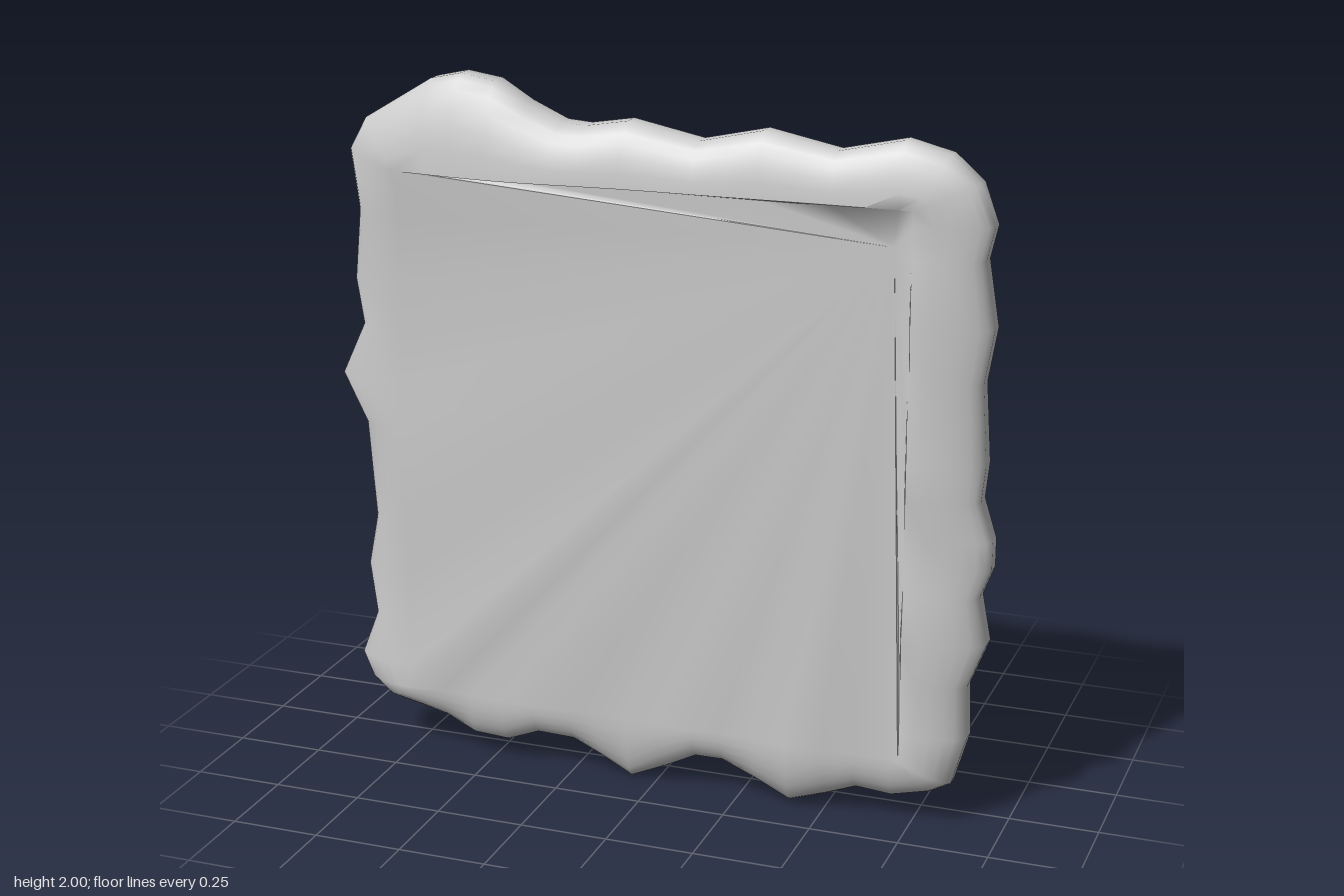
import * as THREE from 'three';
import { toCreasedNormals } from 'three/addons/utils/BufferGeometryUtils.js';

const OUTLINE = [
  [-0.56, 2], [-0.46, 1.985], [-0.37, 1.93], [-0.27, 1.885], [-0.2, 1.88], [-0.08, 1.9], [0.02, 1.88], [0.12, 1.86],
  [0.21, 1.88], [0.3, 1.9], [0.4, 1.88], [0.5, 1.86], [0.59, 1.88], [0.68, 1.9], [0.8, 1.87], [0.88, 1.8], [0.92, 1.69],
  [0.9, 1.6], [0.93, 1.42], [0.905, 1.27], [0.92, 1.05], [0.91, 0.95], [0.945, 0.84], [0.945, 0.76], [0.915, 0.68],
  [0.94, 0.55], [0.89, 0.42], [0.895, 0.27], [0.855, 0.13], [0.8, 0.1], [0.69, 0.07], [0.59, 0.08], [0.5, 0.045],
  [0.4, 0.012], [0.3, 0.055], [0.2, 0.1], [0.12, 0.1], [0.02, 0.05], [-0.08, 0.005], [-0.17, 0.055], [-0.25, 0.095],
  [-0.36, 0.1], [-0.46, 0.06], [-0.56, 0.065], [-0.65, 0.11], [-0.83, 0.15], [-0.89, 0.2], [-0.92, 0.27], [-0.87, 0.4],
  [-0.89, 0.55], [-0.86, 0.7], [-0.88, 0.98], [-0.95, 1.12], [-0.88, 1.27], [-0.9, 1.4], [-0.88, 1.6], [-0.9, 1.77],
  [-0.85, 1.86], [-0.65, 1.98],
];
const MID = 0.075, LEFT = -0.74, RIGHT = 0.72, BOTTOM = 0.2, TOP = 1.73;
const { clamp, lerp, smoothstep } = THREE.MathUtils;
const bump = (x, c, w) => Math.exp(-(((x - c) / w) ** 2));

// Height of the front rim's crest at a point of the inner rectangle
function crest(x, y) {
  if (y >= TOP) return 0.155 + 0.038 * bump(x, -0.42, 0.3) + 0.01 * bump(x, 0.15, 0.25);
  if (x >= RIGHT) return 0.157 + 0.006 * Math.sin(y * 14);
  if (y <= BOTTOM) return 0.148 + 0.035 * bump(x, 0.42, 0.09) + 0.005 * Math.sin(x * 13);
  return 0.142 + 0.005 * Math.sin(y * 9);
}

// Gently rolling back face, thinner toward the left edge
function back(x, y) {
  return -0.016 - 0.008 * Math.sin(3 * x + 5 * y) - 0.012 * bump(y, 1.7, 0.12)
    + 0.012 * bump(y, 1.45, 0.15) - 0.006 * bump(y, 0.7, 0.25) + 0.022 * smoothstep(-x, 0.55, 0.78);
}

function slabGeometry() {
  const N = OUTLINE.length;
  const edge = OUTLINE.map(([x, y]) => ({ x, y, qx: clamp(x, LEFT, RIGHT), qy: clamp(y, BOTTOM, TOP) }));
  const steps = [0, 0.06, 0.16, 0.32, 0.52, 0.75, 1];
  const rings = [];
  // Back face, from its middle out to the rectangle
  for (const s of [0, 0.2, 0.4, 0.6, 0.8]) {
    rings.push(edge.map((p) => {
      const x = p.qx * s, y = 1 + (p.qy - 1) * s;
      return [x, y, back(x, y)];
    }));
  }
  // Rounded rim, back half then front half; sharper at the top left, blunter elsewhere
  const rim = (t, height) => edge.map((p) => {
    const sharp = Math.max(smoothstep(-p.x, 0.6, 0.8), smoothstep(p.y, 1.84, 1.98));
    const swell = (1 - (1 - t) ** 2) ** lerp(0.58, 0.75, sharp);
    const z = MID + (height(p) - MID) * lerp(0.25, 1, swell);
    return [lerp(p.x, p.qx, t), lerp(p.y, p.qy, t), z];
  });
  for (const t of [...steps].reverse()) rings.push(rim(t, (p) => back(p.qx, p.qy)));
  for (const t of steps) rings.push(rim(t, (p) => crest(p.qx, p.qy)));
  // Ledge down to the front panel, fading out at its ends, then a fan to one corner
  rings.push(edge.map((p) => {
    const top = p.qy >= TOP ? smoothstep(p.qx, -0.74, -0.5) * (1 - smoothstep(p.qx, 0.4, 0.7)) : 0;
    const right = p.qx >= RIGHT ? smoothstep(p.qy, 0.25, 0.45) * (1 - smoothstep(p.qy, 1.55, 1.7)) : 0;
    const z = lerp(crest(p.qx, p.qy), 0.15, Math.max(top, right));
    return [p.qx - 0.004 * right, p.qy - 0.004 * top, z];
  }));
  rings.push(edge.map(() => [0.67, 1.63, 0.148]));

  // The first and last rings are single points, so they take one triangle per step
  const index = [];
  for (let i = 0; i < rings.length - 1; i++) {
    for (let j = 0; j < N; j++) {
      const k = (j + 1) % N;
      const a = i * N + j, b = i * N + k, c = a + N, d = b + N;
      if (i === 0) index.push(a, c, d);
      else index.push(a, c, b);
      if (i > 0 && i < rings.length - 2) index.push(b, c, d);
    }
  }
  const g = new THREE.BufferGeometry();
  g.setAttribute('position', new THREE.Float32BufferAttribute(rings.flat(2), 3));
  g.setIndex(index);
  return toCreasedNormals(g, 1);
}

// Blocky pebble: a coarse ball squared off and dented by a wave
function pebbleGeometry(seed) {
  const g = new THREE.SphereGeometry(1, 8, 6);
  const p = g.attributes.position, v = new THREE.Vector3();
  const square = (c) => Math.sign(c) * Math.abs(c) ** 0.75;
  for (let i = 0; i < p.count; i++) {
    v.fromBufferAttribute(p, i);
    v.set(square(v.x), square(v.y), square(v.z));
    v.multiplyScalar(0.95 + 0.07 * Math.sin(3 * v.x + seed) * Math.cos(3 * v.y - 2 * v.z + seed));
    p.setXYZ(i, v.x, v.y, v.z);
  }
  g.deleteAttribute('normal');
  g.deleteAttribute('uv');
  return toCreasedNormals(g, 1);
}

export function createModel() {
  const group = new THREE.Group();
  const material = new THREE.MeshStandardMaterial({ color: 0xcccccc });
  const thin = new THREE.MeshStandardMaterial({ color: 0xcccccc, side: THREE.DoubleSide });

  const slab = new THREE.Mesh(slabGeometry(), material);
  slab.name = 'stoneSlab';
  group.add(slab);

  // Pebbles on the back: position, then half sizes
  [
    [0.585, 1.515, -0.1, 0.069, 0.065, 0.098],
    [0.6, 1.39, -0.022, 0.05, 0.06, 0.043],
    [0.535, 1.42, -0.022, 0.028, 0.034, 0.03],
    [0.415, 0.33, -0.03, 0.088, 0.084, 0.048],
    [-0.4, 0.455, -0.03, 0.075, 0.046, 0.05],
  ].forEach(([x, y, z, sx, sy, sz], i) => {
    const pebble = new THREE.Mesh(pebbleGeometry(i * 1.7), material);
    pebble.name = 'pebble' + (i + 1);
    pebble.position.set(x, y, z);
    pebble.scale.set(sx, sy, sz);
    group.add(pebble);
  });

  // Grass tufts: thin blades spreading from a root
  const up = new THREE.Vector3(0, 1, 0);
  [[0.63, 1.47, -0.015], [0.47, 0.3, -0.015]].forEach((root, n) => {
    const tuft = new THREE.Group();
    tuft.name = 'grassTuft' + (n + 1);
    tuft.position.set(...root);
    for (let i = 0; i < 11; i++) {
      const a = -1.3 + i * 0.22;
      const dir = new THREE.Vector3(0.9 * Math.cos(a), 0.7 * Math.sin(a), -0.6 - 0.4 * Math.sin(i * 2.3)).normalize();
      const length = 0.085 + 0.02 * Math.sin(i * 1.9);
      const blade = new THREE.Mesh(new THREE.ConeGeometry(0.006, length, 3), thin);
      blade.name = 'grassBlade';
      blade.quaternion.setFromUnitVectors(up, dir);
      blade.position.copy(dir).multiplyScalar(length / 2);
      tuft.add(blade);
    }
    group.add(tuft);
  });
  return group;
}
